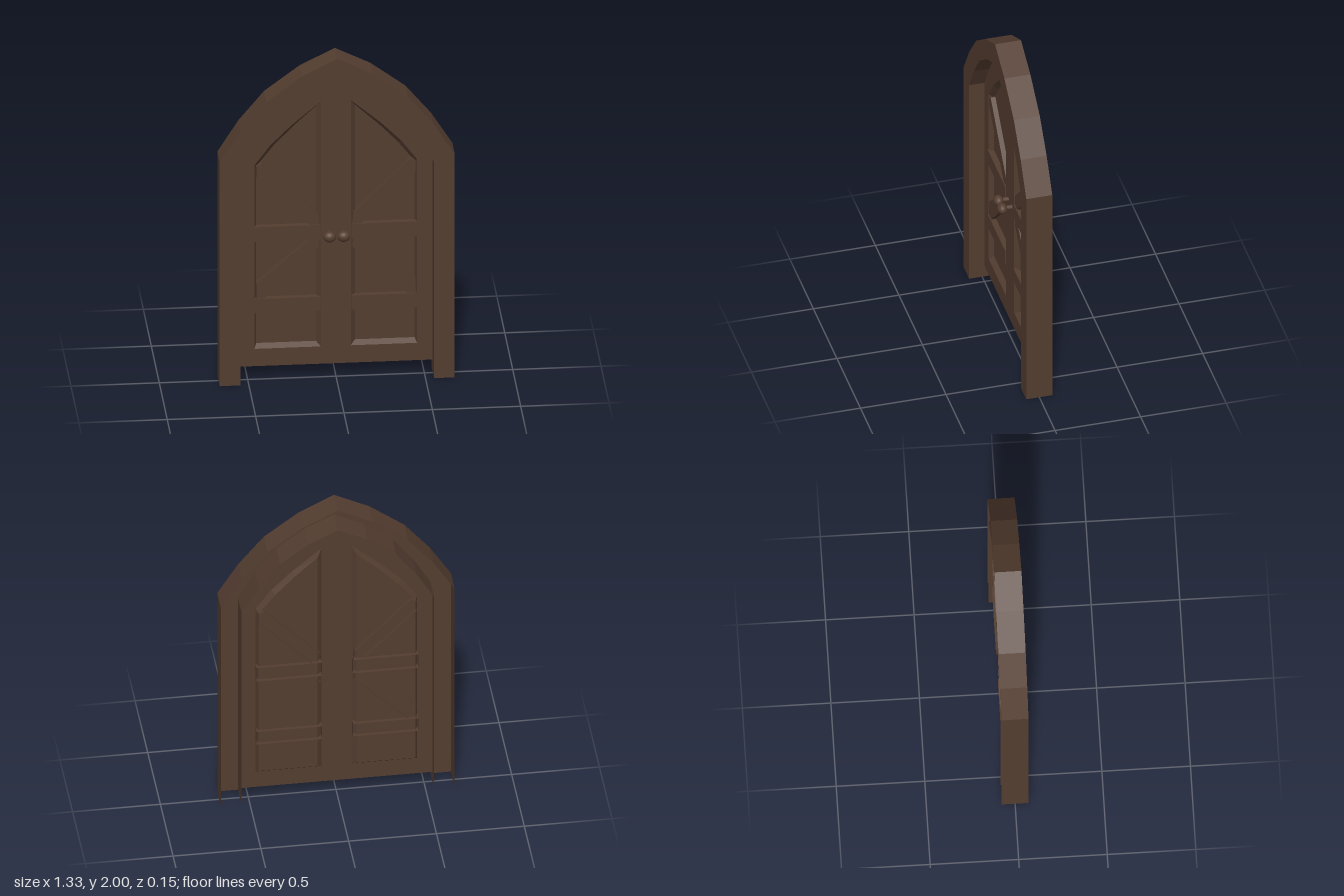
import * as THREE from 'three';

const wood = new THREE.MeshStandardMaterial({ color: 0x543d30, side: THREE.DoubleSide });
wood.name = 'dark brown wood';

const FRAME_Z = 0.076, DOOR_Z = -0.013, PANEL_Z = -0.042;

const mirrored = (pts, s) => pts.map(([x, y]) => [x * s, y]);
const toVectors = (pts) => pts.map(([x, y]) => new THREE.Vector2(x, y));

// Full symmetric outline from its right half (bottom to apex at x = 0)
const arch = (half) => [...half, ...mirrored(half.slice(0, -1), -1).reverse()];

function add(parent, name, geometry) {
  const mesh = new THREE.Mesh(geometry, wood);
  mesh.name = name;
  parent.add(mesh);
  return mesh;
}

// Flat face at depth z, with optional holes
function face(parent, name, pts, z, holes = []) {
  const shape = new THREE.Shape(toVectors(pts));
  holes.forEach((h) => shape.holes.push(new THREE.Path(toVectors(h))));
  return add(parent, name, new THREE.ShapeGeometry(shape).translate(0, 0, z));
}

// Strip of quads joining outline a at depth za to outline b at depth zb
function wall(parent, name, a, za, b, zb, closed = true) {
  const pos = [];
  const n = a.length;
  const ccw = THREE.ShapeUtils.area(toVectors(a)) > 0;
  for (let i = 0; i < (closed ? n : n - 1); i++) {
    const j = (i + 1) % n;
    const p = [...a[i], za], q = [...a[j], za], r = [...b[j], zb], s = [...b[i], zb];
    if (ccw) pos.push(...p, ...s, ...q, ...q, ...s, ...r);
    else pos.push(...p, ...q, ...s, ...q, ...r, ...s);
  }
  const g = new THREE.BufferGeometry();
  g.setAttribute('position', new THREE.Float32BufferAttribute(pos, 3));
  g.computeVertexNormals();
  return add(parent, name, g);
}

export function createModel() {
  const model = new THREE.Group();
  model.name = 'archedDoubleDoor';

  // Pointed frame: a channel open at the back and under the feet
  const outer = arch([[0.665, 0], [0.665, 1.385], [0.545, 1.575], [0.4, 1.75], [0.2, 1.9], [0, 2]]);
  const inner = arch([[0.548, 0], [0.548, 1.34], [0.45, 1.505], [0.33, 1.66], [0.17, 1.78], [0, 1.862]]);
  const frame = new THREE.Group();
  frame.name = 'frame';
  model.add(frame);
  face(frame, 'frameFront', [...outer, ...[...inner].reverse()], FRAME_Z);
  wall(frame, 'frameOuterSide', outer, FRAME_Z, outer, -FRAME_Z, false);
  wall(frame, 'frameInnerSide', [...inner].reverse(), FRAME_Z, [...inner].reverse(), -FRAME_Z, false);

  // Door leaves, with one opening on each side
  const opening = [[0.085, 0.182], [0.46, 0.182], [0.46, 1.32], [0.37, 1.44], [0.25, 1.56], [0.085, 1.7]];
  const sunken = [[0.11, 0.205], [0.448, 0.205], [0.448, 1.3], [0.35, 1.425], [0.24, 1.54], [0.11, 1.66]];
  const leaf = inner.map(([x, y]) => [x, Math.max(y, 0.075)]);
  const doors = new THREE.Group();
  doors.name = 'doors';
  model.add(doors);
  face(doors, 'doorFace', leaf, DOOR_Z, [opening, mirrored(opening, -1)]);

  // Braces on the left half, mirrored for the right
  const rail = (y0, y1) => [[0.088, y0], [0.461, y0], [0.461, y1], [0.088, y1]];
  const braces = [
    ['upperRail', rail(0.845, 0.937)],
    ['lowerRail', rail(0.405, 0.492)],
    ['upperBrace', [[0.145, 0.937], [0.45, 1.245], [0.45, 1.31], [0.42, 1.325], [0.1, 1.0], [0.092, 0.937]]],
    ['lowerBrace', [[0.092, 0.8], [0.405, 0.492], [0.45, 0.492], [0.45, 0.585], [0.15, 0.845], [0.1, 0.845]]],
  ];

  for (const [side, s] of [['left', 1], ['right', -1]]) {
    const half = new THREE.Group();
    half.name = side + 'Door';
    doors.add(half);

    // Sunken panel with sloping edges
    face(half, 'panel', mirrored(sunken, s), PANEL_Z);
    wall(half, 'panelBevel', mirrored(opening, s).reverse(), DOOR_Z, mirrored(sunken, s).reverse(), PANEL_Z);

    // Rails and diagonal braces, hollow behind
    for (const [name, pts] of braces) {
      const front = name.endsWith('Rail') ? -0.008 : -0.014;
      const back = name === 'lowerBrace' && s === 1 ? PANEL_Z : -0.062;
      const outline = mirrored(pts, s);
      face(half, name, outline, front);
      wall(half, name + 'Sides', outline, front, outline, back);
    }

    // Round knob on a short stem
    const stem = new THREE.CylinderGeometry(0.014, 0.014, 0.05, 12, 1, true).rotateX(Math.PI / 2);
    add(half, 'knobStem', stem).position.set(0.04 * s, 0.885, 0.01);
    const knob = new THREE.SphereGeometry(1, 20, 12).rotateX(Math.PI / 2).scale(0.037, 0.032, 0.029);
    add(half, 'knob', knob).position.set(0.04 * s, 0.885, 0.045);
  }
  return model;
}
